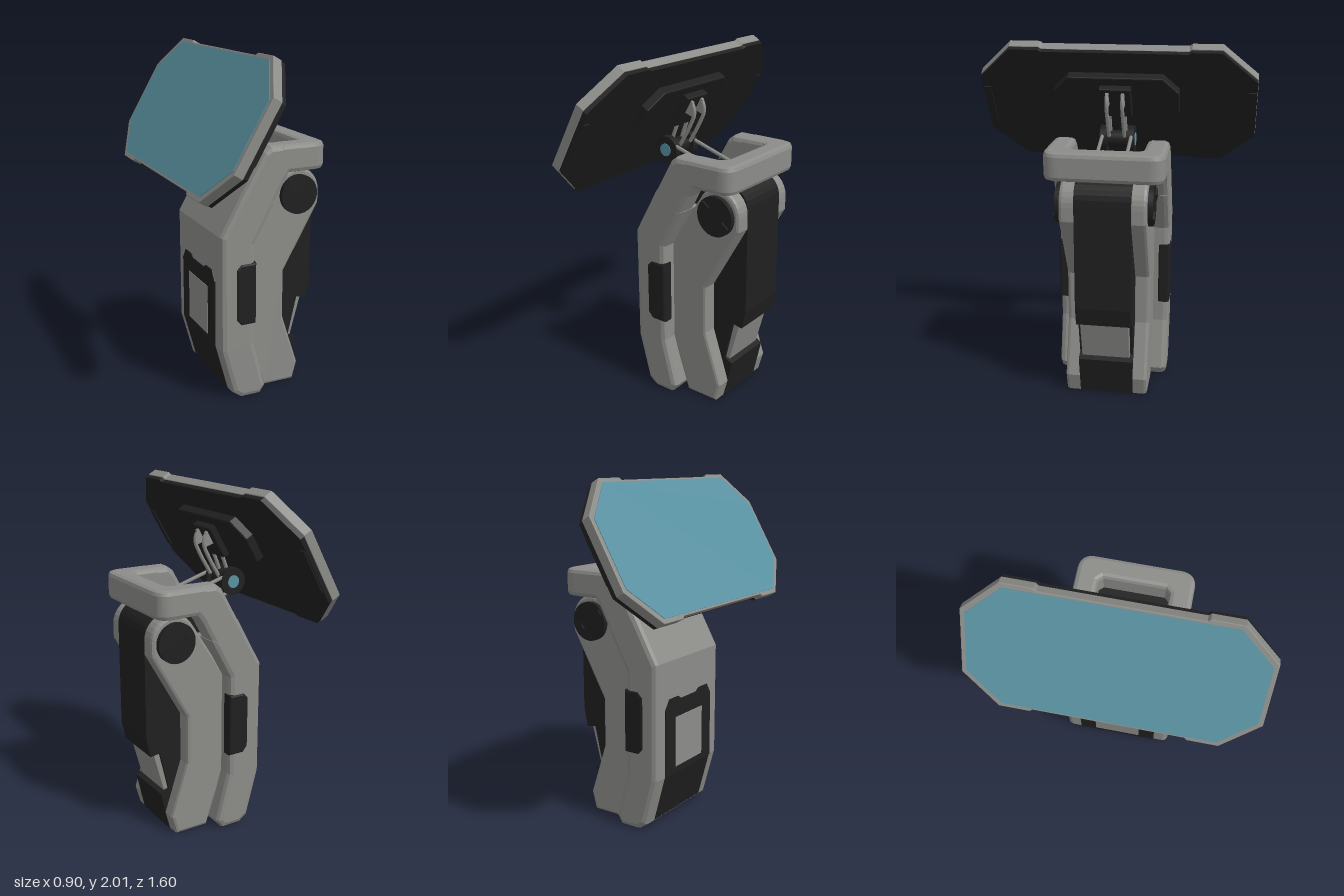
import * as THREE from 'three';

export function createModel() {
  const root = new THREE.Group();
  const mat = (name, color) => {
    const m = new THREE.MeshStandardMaterial({ color });
    m.name = name;
    return m;
  };
  const grey = mat('grey casing', 0x8c8c89);
  const dark = mat('dark rubber', 0x202020);
  const blue = mat('blue glass', 0x5a93a3);

  const add = (name, geo, material, parent = root) => {
    const mesh = new THREE.Mesh(geo, material);
    mesh.name = name;
    parent.add(mesh);
    return mesh;
  };
  // Outline extruded from z0 to z1 with a bevel kept inside the outline
  const slab = (pts, z0, z1, b = 0) => {
    const shape = pts instanceof THREE.Shape ? pts : new THREE.Shape(pts.map(p => new THREE.Vector2(p[0], p[1])));
    const geo = new THREE.ExtrudeGeometry(shape, {
      depth: z1 - z0 - 2 * b, bevelEnabled: b > 0, bevelSize: b, bevelThickness: b,
      bevelOffset: -b, bevelSegments: 2, curveSegments: 10,
    });
    return geo.translate(0, 0, z0 + b);
  };
  // The same slab on both sides of the model
  const pair = (name, pts, z0, z1, b, material, parent = root) => {
    add(name + 'Left', slab(pts, z0, z1, b), material, parent);
    add(name + 'Right', slab(pts, -z1, -z0, b), material, parent);
  };
  const arc = (cx, cy, r, a0, a1, n) => Array.from({ length: n + 1 }, (_, i) => {
    const a = a0 + (a1 - a0) * i / n;
    return [cx + r * Math.cos(a), cy + r * Math.sin(a)];
  });
  const disc = (name, x, y, z0, z1, r, material) => {
    const geo = new THREE.CylinderGeometry(r, r, z1 - z0, 32).rotateX(Math.PI / 2);
    add(name, geo, material).position.set(x, y, (z0 + z1) / 2);
  };

  // Outer shell: full width below, two arms carrying on to the top
  const lower = [[-0.08, 0], [0.04, 0], [0.075, 0.05], [0, 0.34], [0, 0.94]];
  const back = [[-0.21, 1.0], [-0.21, 0.32], [-0.135, 0.04]];
  add('shellBack', slab([...lower, [0.13, 1.18], [-0.06, 1.27], ...back], -0.33, 0.33, 0.03), grey);
  pair('shellArm', [...lower, [0.18, 1.28], [0.215, 1.33], [0.3, 1.33], [0.3, 1.49], [0.09, 1.49],
    [0.05, 1.46], ...back], 0.2, 0.33, 0.03, grey);

  // Top loop joining the arms round the front of the opening
  const loop = new THREE.Shape();
  loop.moveTo(0.16, -0.33);
  loop.lineTo(0.36, -0.33);
  loop.quadraticCurveTo(0.45, -0.33, 0.45, -0.24);
  loop.lineTo(0.45, 0.24);
  loop.quadraticCurveTo(0.45, 0.33, 0.36, 0.33);
  loop.lineTo(0.16, 0.33);
  loop.lineTo(0.16, 0.2);
  loop.lineTo(0.3, 0.2);
  loop.lineTo(0.325, 0.175);
  loop.lineTo(0.325, -0.175);
  loop.lineTo(0.3, -0.2);
  loop.lineTo(0.16, -0.2);
  add('topLoop', slab(loop, 0, 0.16, 0.025).rotateX(-Math.PI / 2).translate(0, 1.33, 0), grey);
  add('openingFloor', slab([[-0.02, 1.2], [0.33, 1.2], [0.33, 1.345], [0.02, 1.345]], -0.205, 0.205), dark);

  // Dark grips wrapping the shell edges
  pair('sideGrip', [[-0.12, 0.5], [-0.09, 0.465], [0.005, 0.465], [0.005, 0.835], [-0.09, 0.835], [-0.12, 0.805]],
    0.265, 0.336, 0.012, dark);

  // Panel and window on the back face, with a lower flap down the slope
  const facePlate = (name, pts, x, t, material) =>
    add(name, slab(pts, 0, t).rotateY(-Math.PI / 2).translate(x, 0, 0), material);
  facePlate('backPanel', [[-0.24, 0.32], [0.24, 0.32], [0.24, 0.72], [0.2, 0.78], [0.11, 0.78], [0.08, 0.76],
    [-0.08, 0.76], [-0.11, 0.78], [-0.2, 0.78], [-0.24, 0.72]], -0.209, 0.006, dark);
  facePlate('backWindow', [[-0.14, 0.36], [0.14, 0.36], [0.14, 0.66], [-0.14, 0.66]], -0.214, 0.004, grey);
  add('backFlap', slab([[-0.213, 0.325], [-0.139, 0.045], [-0.12, 0.045], [-0.19, 0.325]], -0.24, 0.24), dark);

  // Inner body: grey cheeks either side of a dark core, rounded at the pivot
  const crown = arc(0.31, 1.19, 0.14, 0, Math.PI * 0.8, 12);
  pair('cheek', [[0.1, 0], [0.305, 0], [0.335, 0.11], [0.23, 0.43], [0.23, 0.72], [0.45, 1.11],
    ...crown, [-0.02, 0.94], [-0.02, 0.35]], 0.14, 0.24, 0.018, grey);
  add('core', slab([[0.06, 0.005], [0.31, 0], [0.362, 0.235], [0.31, 0.26], [0.365, 0.5], [0.425, 0.49],
    [0.45, 0.6], [0.45, 1.2], ...arc(0.32, 1.21, 0.13, 0.2, Math.PI / 2, 6), [0.15, 1.33], [-0.02, 0.94], [-0.02, 0.35]],
    -0.156, 0.156), dark);
  add('latch', slab([[0.295, 0.25], [0.335, 0.25], [0.4, 0.495], [0.36, 0.495]], -0.14, 0.14, 0.004), grey);

  // Pivot knobs with two raised tabs
  for (const [side, s] of [['Left', 1], ['Right', -1]]) {
    const span = (a, b) => s > 0 ? [a, b] : [-b, -a];
    disc('pivotKnob' + side, 0.307, 1.18, ...span(0.2, 0.268), 0.115, dark);
    for (const a of [2.5, -0.65]) {
      const tab = add('knobTab' + side, new THREE.BoxGeometry(0.05, 0.04, 0.014), dark);
      tab.position.set(0.307 + 0.08 * Math.cos(a), 1.18 + 0.08 * Math.sin(a), s * 0.27);
      tab.rotation.z = a;
    }
    // Hinge wheels under the screen
    disc('hingeWheel' + side, -0.165, 1.43, ...span(0.06, 0.1), 0.08, dark);
    disc('hingeCap' + side, -0.165, 1.43, ...span(0.098, 0.104), 0.037, blue);
  }
  disc('hingeAxle', -0.165, 1.43, -0.07, 0.07, 0.05, dark);

  // Thin rods from the hinge to the shell and to the screen mount
  const rod = (name, pts, r) => {
    for (const s of [1, -1]) {
      const curve = new THREE.CatmullRomCurve3(pts.map(p => new THREE.Vector3(p[0], p[1], s * p[2])));
      add(name, new THREE.TubeGeometry(curve, 16, r, 6), grey);
    }
  };
  rod('upperShellRod', [[-0.15, 1.475, 0.085], [0.22, 1.36, 0.085]], 0.011);
  rod('lowerShellRod', [[-0.15, 1.37, 0.085], [0.06, 1.31, 0.085]], 0.011);
  rod('outerLink', [[-0.05, 1.735, 0.045], [-0.008, 1.705, 0.045], [0.002, 1.655, 0.045], [-0.03, 1.58, 0.045],
    [-0.1, 1.46, 0.045]], 0.011);
  rod('innerLink', [[-0.11, 1.61, 0.045], [-0.16, 1.48, 0.045]], 0.011);
  pair('linkPlate', [[-0.07, 1.66], [-0.012, 1.64], [0.006, 1.67], [-0.005, 1.72], [-0.03, 1.74]],
    0.036, 0.054, 0, grey);

  // Tilted screen: local x runs along the width, local z out of the glass
  const screen = new THREE.Group();
  screen.name = 'screen';
  const c = Math.cos(Math.PI / 6);
  screen.matrix.makeBasis(new THREE.Vector3(0, 0, 1), new THREE.Vector3(0.5, c, 0), new THREE.Vector3(-c, 0.5, 0));
  screen.matrix.setPosition(-0.183, 1.6175, 0);
  screen.matrix.decompose(screen.position, screen.quaternion, screen.scale);
  root.add(screen);
  const octagon = (w, h, k, notch) => {
    const half = [[w, -h + k], [w, h - k], [w - k, h]];
    if (notch) half.push([0.43, h], [0.415, h - notch]);
    const mirror = (sx, sy) => half.slice(1).map(([x, y]) => [x * sx, y * sy]);
    return [...mirror(1, 1), ...mirror(-1, 1).reverse(), ...mirror(-1, -1), ...mirror(1, -1).reverse()];
  };
  add('screenFrame', slab(octagon(0.8, 0.405, 0.2, 0.014), 0.025, 0.08, 0.004), grey, screen);
  add('screenBack', slab(octagon(0.797, 0.4, 0.2, 0.012), 0, 0.026), dark, screen);
  add('screenGlass', slab(octagon(0.775, 0.378, 0.19), 0.078, 0.083), blue, screen);
  for (const s of [1, -1]) {
    add('backRib', new THREE.BoxGeometry(0.04, 0.26, 0.01), dark, screen).position.set(s * 0.77, 0, -0.003);
  }
  // Mount on the back of the screen
  add('mountPlate', slab([[-0.36, 0], [0.36, 0], [0.36, 0.15], [0.27, 0.25], [-0.27, 0.25], [-0.36, 0.15]],
    -0.05, 0.01, 0.008), dark, screen);
  add('mountBlock', slab([[-0.09, 0], [0.09, 0], [0.09, 0.2], [-0.09, 0.2]], -0.09, 0, 0.008), dark, screen);

  return root;
}
